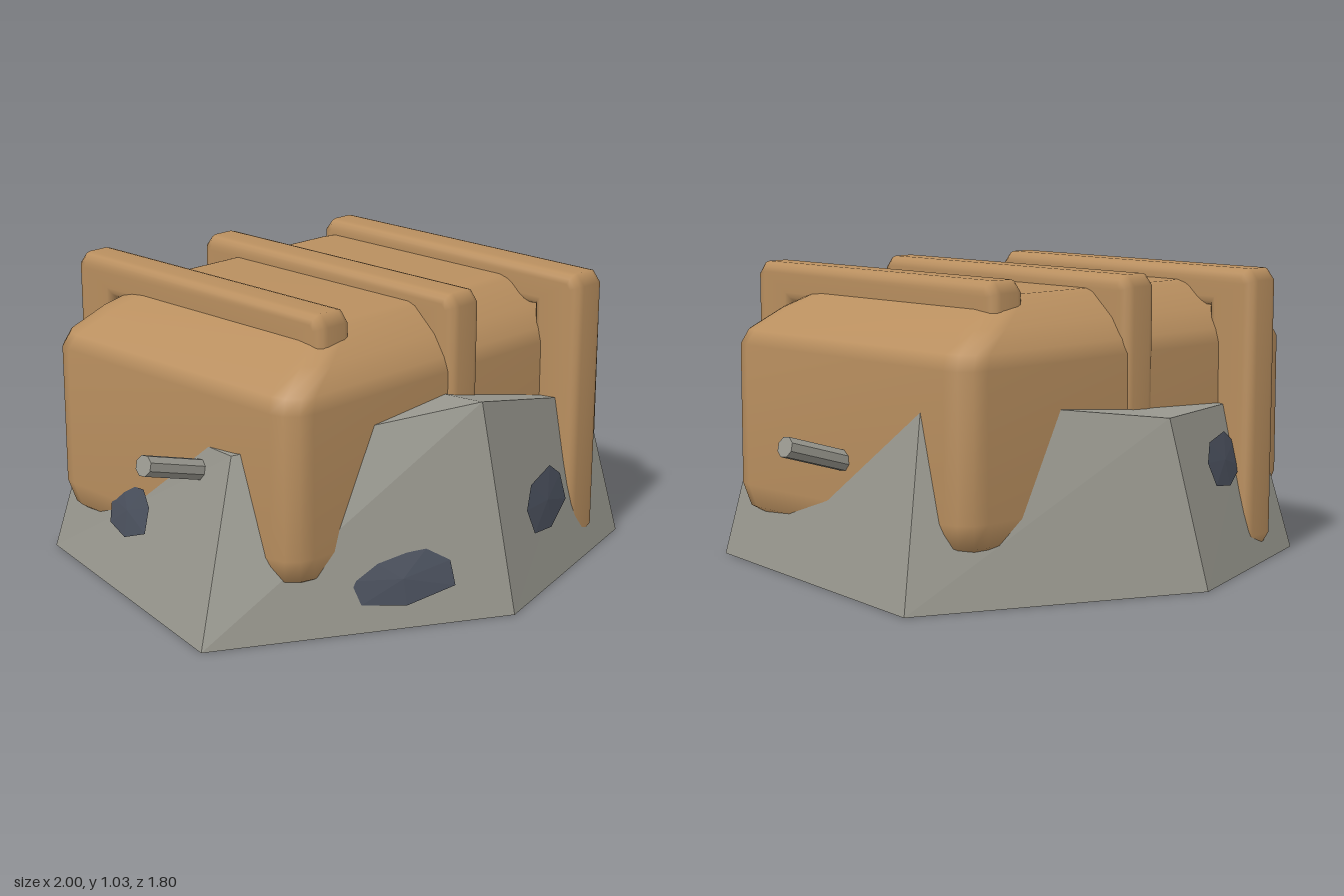
import * as THREE from 'three';
import { mergeVertices } from 'three/addons/utils/BufferGeometryUtils.js';

const V = (x, y, z) => new THREE.Vector3(x, y, z);

// Six corners of the plinth, left to right as seen from outside: foot and rim
const FOOT = [V(-0.9, 0, 0.65), V(0.14, 0, 0.9), V(0.9, 0, 0.44), V(0.77, 0, -0.74), V(-0.27, 0, -0.9), V(-0.94, 0, -0.44)];
const RIM = [V(-0.72, 0.6, 0.53), V(0.08, 0.72, 0.77), V(0.78, 0.52, 0.39), V(0.64, 0.67, -0.61), V(-0.19, 0.57, -0.78), V(-0.8, 0.55, -0.37)];
const TURN = 0.27;

function fromTriangles(tris) {
  const g = new THREE.BufferGeometry().setFromPoints(tris);
  g.computeVertexNormals();
  return g;
}

function plinthGeometry() {
  const tris = [];
  const low = V(0, 0, 0), high = V(0, 0.62, 0);
  for (let i = 0; i < 6; i++) {
    const j = (i + 1) % 6;
    tris.push(FOOT[i], FOOT[j], RIM[j], FOOT[i], RIM[j], RIM[i]);
    tris.push(RIM[i], RIM[j], high, FOOT[j], FOOT[i], low);
  }
  return fromTriangles(tris);
}

// Thin irregular plate lying on one plinth face
function patchGeometry(face, t, y, halfT, halfY) {
  const j = (face + 1) % 6;
  const at = (a, h) => {
    const foot = FOOT[face].clone().lerp(FOOT[j], a);
    const rim = RIM[face].clone().lerp(RIM[j], a);
    return foot.lerp(rim, h / rim.y);
  };
  const normal = FOOT[j].clone().sub(FOOT[face]).cross(RIM[face].clone().sub(FOOT[face])).normalize();
  const outline = [[-1, 0.1], [-0.8, -0.8], [0.05, -1], [1, -0.45], [0.95, 0.5], [0.5, 1], [-0.6, 0.8]]
    .map(([a, b]) => at(t + a * halfT, y + b * halfY).addScaledVector(normal, 0.008));
  const mid = at(t, y).addScaledVector(normal, 0.016);
  return fromTriangles(outline.flatMap((p, i) => [p, outline[(i + 1) % outline.length], mid]));
}

// Rounded-rectangle rings lofted upward, closed at both ends
function bodyGeometry() {
  const rings = [
    [0.17, 0.74, 0.54], [0.2, 0.78, 0.58], [0.28, 0.8, 0.6], [0.77, 0.8, 0.6],
    [0.82, 0.775, 0.585], [0.89, 0.66, 0.54], [0.97, 0.49, 0.45], [0.98, 0.46, 0.42],
  ];
  const pos = [], index = [], steps = 3, n = 4 * (steps + 1), r = 0.1;
  for (const [y, hu, hv] of rings) {
    for (let c = 0; c < 4; c++) {
      const sx = c === 0 || c === 3 ? 1 : -1, sz = c < 2 ? 1 : -1;
      for (let k = 0; k <= steps; k++) {
        const a = (c + k / steps) * Math.PI / 2;
        pos.push(sx * (hu - r) + r * Math.cos(a), y, sz * (hv - r) + r * Math.sin(a));
      }
    }
  }
  for (let i = 0; i < rings.length - 1; i++) {
    for (let k = 0; k < n; k++) {
      const a = i * n + k, b = i * n + (k + 1) % n;
      index.push(a, a + n, b, b, a + n, b + n);
    }
  }
  const top = (rings.length - 1) * n;
  for (let k = 1; k < n - 1; k++) {
    index.push(0, k, k + 1, top, top + k + 1, top + k);
  }
  const g = new THREE.BufferGeometry();
  g.setAttribute('position', new THREE.Float32BufferAttribute(pos, 3));
  g.setIndex(index);
  g.computeVertexNormals();
  return g;
}

// Upside-down U with softened edges
function strapGeometry() {
  const bevel = 0.035;
  const half = [[0.545, 0.065], [0.575, 0.11], [0.58, 0.98], [0.565, 0.998]];
  const inner = [[0.45, 0.93], [0.47, 0.25], [0.52, 0.065]];
  const mirror = (list) => list.map(([x, y]) => [-x, y]).reverse();
  const outline = [...half, ...mirror(half), ...mirror(inner), ...inner];
  const shape = new THREE.Shape(outline.map(([x, y]) => new THREE.Vector2(x, y)));
  const depth = 0.075;
  let g = new THREE.ExtrudeGeometry(shape, {
    depth, bevelEnabled: true, bevelSize: bevel, bevelThickness: bevel, bevelSegments: 3,
  });
  g.translate(0, 0, -depth / 2);
  g.rotateY(Math.PI / 2);
  g.deleteAttribute('uv');
  g.deleteAttribute('normal');
  g = mergeVertices(g, 1e-4);
  g.computeVertexNormals();
  return g;
}

function rodMesh(tip, root, material) {
  const dir = tip.clone().sub(root);
  const mesh = new THREE.Mesh(new THREE.CylinderGeometry(0.036, 0.036, dir.length(), 8), material);
  mesh.position.copy(tip).add(root).multiplyScalar(0.5);
  mesh.quaternion.setFromUnitVectors(V(0, 1, 0), dir.normalize());
  return mesh;
}

export function createModel() {
  const stone = new THREE.MeshStandardMaterial({ color: 0x9a9990, flatShading: true });
  stone.name = 'grey stone';
  const tan = new THREE.MeshStandardMaterial({ color: 0xb98f5f });
  tan.name = 'tan wood';
  const slate = new THREE.MeshStandardMaterial({ color: 0x4b515e, side: THREE.DoubleSide });
  slate.name = 'dark slate';

  const model = new THREE.Group();
  model.name = 'strappedBundleOnPlinth';
  const add = (name, mesh) => {
    mesh.name = name;
    model.add(mesh);
    return mesh;
  };

  add('plinth', new THREE.Mesh(plinthGeometry(), stone));

  // Dark patches on four plinth faces
  [[0, 0.64, 0.165, 0.175, 0.09], [1, 0.4, 0.285, 0.18, 0.1], [4, 0.46, 0.38, 0.18, 0.09], [5, 0.43, 0.27, 0.13, 0.09]]
    .forEach((p, i) => add(`patch${i + 1}`, new THREE.Mesh(patchGeometry(...p), slate)));

  // Body sits turned on the plinth
  const body = add('body', new THREE.Mesh(bodyGeometry(), tan));
  body.position.set(-0.018, 0, -0.026);
  body.rotation.y = TURN;

  // Three parallel straps in a row along x
  const strap = strapGeometry();
  [-0.52, -0.02, 0.485].forEach((x, i) => {
    const mesh = add(`strap${i + 1}`, new THREE.Mesh(strap, tan));
    mesh.position.set(x, 0, -0.02);
    mesh.rotation.y = TURN;
  });

  // Handles rising outward at both ends
  add('leftRod', rodMesh(V(0.985, 0.5, -0.315), V(0.6, 0.38, -0.2), stone));
  add('rightRod', rodMesh(V(-0.985, 0.585, 0.435), V(-0.6, 0.46, 0.32), stone));
  return model;
}
